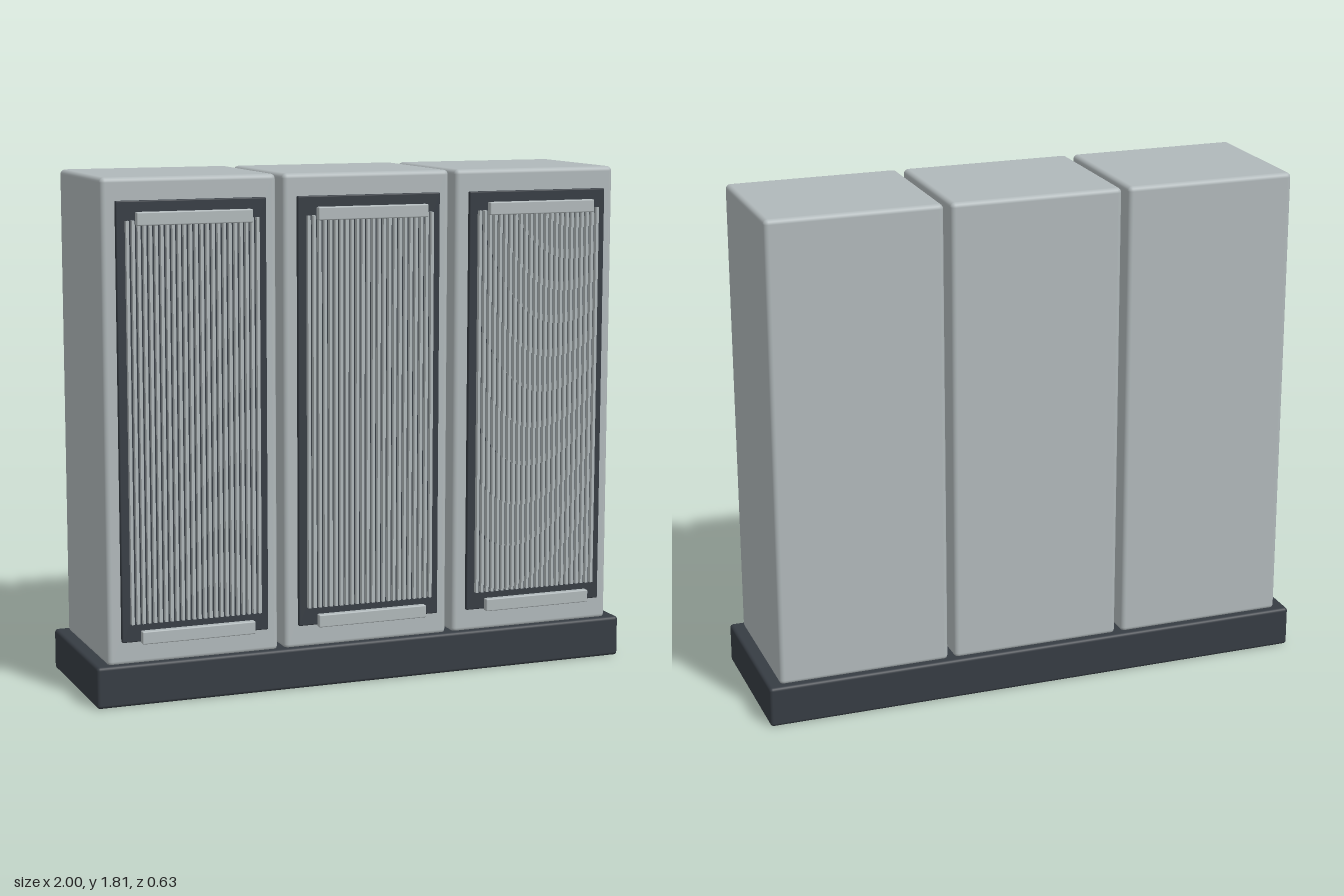
import * as THREE from 'three';
import { RoundedBoxGeometry } from 'three/addons/geometries/RoundedBoxGeometry.js';

const material = (name, color) => {
  const m = new THREE.MeshStandardMaterial({ color });
  m.name = name;
  return m;
};

// Box given by its [min, max] extents, rounded when a radius is given
function block(name, mat, [x0, x1], [y0, y1], [z0, z1], radius = 0) {
  const size = [x1 - x0, y1 - y0, z1 - z0];
  const geometry = radius
    ? new RoundedBoxGeometry(...size, 3, radius)
    : new THREE.BoxGeometry(...size);
  const mesh = new THREE.Mesh(geometry, mat);
  mesh.name = name;
  mesh.position.set((x0 + x1) / 2, (y0 + y1) / 2, (z0 + z1) / 2);
  return mesh;
}

export function createModel() {
  const grey = material('light grey metal', 0xb0b8ba);
  const dark = material('dark slate', 0x363c43);

  const model = new THREE.Group();
  model.name = 'cabinetRow';

  // Shared plinth
  model.add(block('plinth', dark, [-1, 1], [0, 0.147], [-0.313, 0.272], 0.012));

  for (let i = -1; i <= 1; i++) {
    const unit = new THREE.Group();
    unit.name = 'cabinet';
    unit.position.x = i * 0.645;

    // Cabinet body and door panel
    unit.add(block('cabinetBody', grey, [-0.31, 0.31], [0.14, 1.815], [-0.286, 0.249], 0.017));
    unit.add(block('doorPanel', dark, [-0.265, 0.265], [0.227, 1.738], [0.256, 0.274], 0.004));

    // Vertical cooling fins
    const fins = new THREE.Group();
    fins.name = 'fins';
    const count = 24;
    for (let k = 0; k < count; k++) {
      const x = -0.23 + (0.46 * k) / (count - 1);
      fins.add(block('fin', grey, [x - 0.005, x + 0.005], [0.292, 1.672], [0.272, 0.291]));
    }
    unit.add(fins);

    // Upper and lower rails
    for (const y of [0.226, 1.657]) {
      unit.add(block('rail', grey, [-0.204, 0.204], [y, y + 0.045], [0.289, 0.315], 0.004));
    }
    model.add(unit);
  }
  return model;
}
